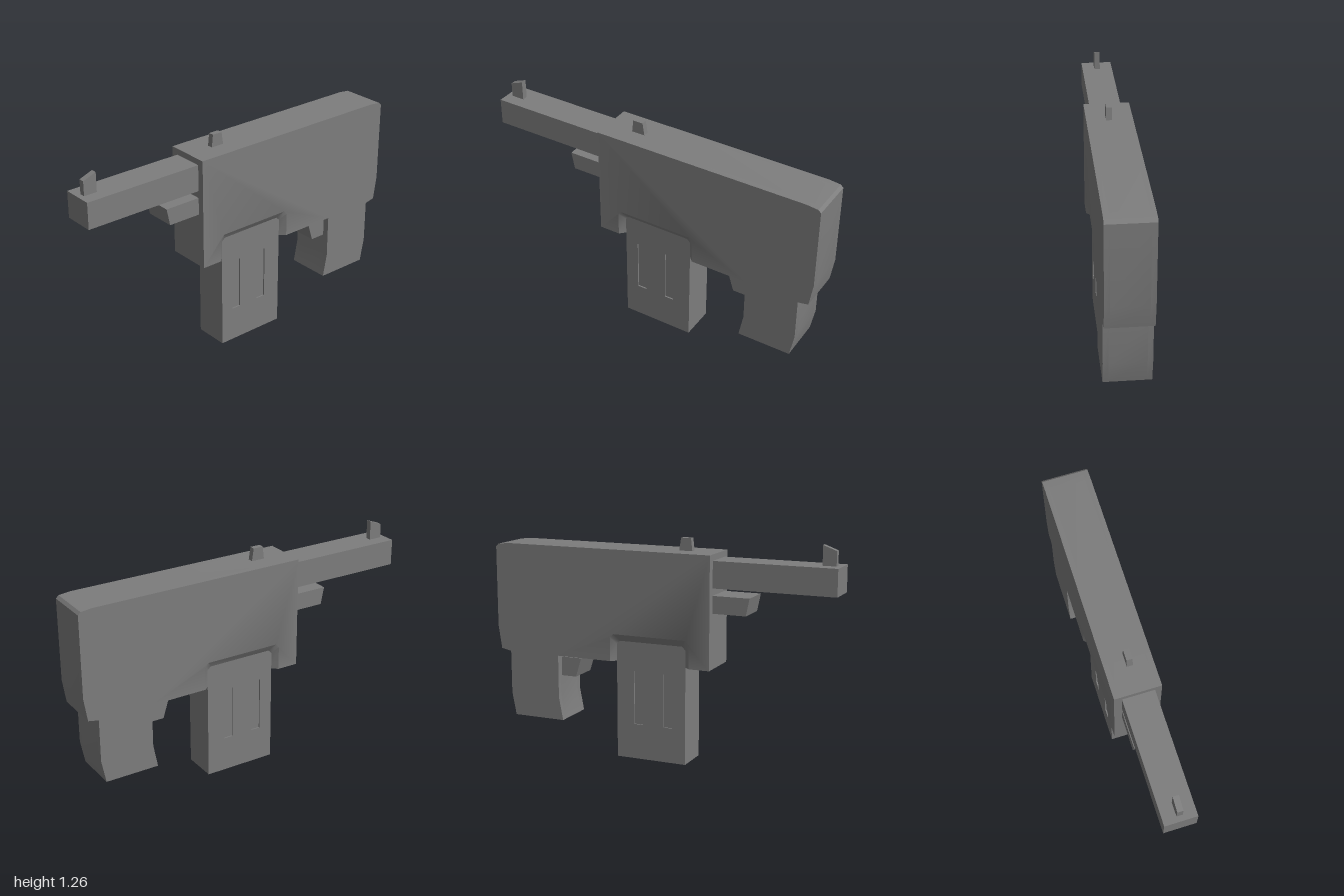
import * as THREE from 'three';
import { toCreasedNormals } from 'three/addons/utils/BufferGeometryUtils.js';

const metal = new THREE.MeshStandardMaterial({ color: 0x7d7d7d });

function shapeOf(points) {
  return new THREE.Shape(points.map(([a, b]) => new THREE.Vector2(a, b)));
}

// Side profile given as [z, y], extruded across x from x0 to x1.
function sidePart(name, points, x0, x1, { holes = [], warp } = {}) {
  const shape = shapeOf(points);
  shape.holes = holes.map(shapeOf);
  const geo = new THREE.ExtrudeGeometry(shape, { depth: x1 - x0, bevelEnabled: false });
  geo.rotateY(-Math.PI / 2).translate(x1, 0, 0);
  if (warp) {
    const pos = geo.attributes.position;
    const v = new THREE.Vector3();
    for (let i = 0; i < pos.count; i++) {
      warp(v.fromBufferAttribute(pos, i));
      pos.setXYZ(i, v.x, v.y, v.z);
    }
  }
  const mesh = new THREE.Mesh(toCreasedNormals(geo, 0.6), metal);
  mesh.name = name;
  return mesh;
}

const rect = (z0, z1, y0, y1) => [[z0, y0], [z1, y0], [z1, y1], [z0, y1]];

// Opens the magazine recess outward, so its walls slope
const flareRecess = (outerX) => (v) => {
  if (Math.abs(v.x - outerX) > 1e-4 || v.y > 0.7 || v.z > 0.17 || v.z < -0.26) return;
  v.z += Math.sign(v.z) * 0.03;
  if (v.y > 0.6) v.y += 0.04;
};

export function createModel() {
  const model = new THREE.Group();
  model.name = 'blockyGun';

  // Receiver and grip: a solid core between two side skins with a recess
  const back = [
    [-0.61, 0.555], [-0.61, 0.31], [-0.585, 0.178], [-0.895, 0.178],
    [-0.92, 0.31], [-0.92, 0.555], [-0.98, 0.567], [-1, 0.7],
    [-1, 1.16], [-0.985, 1.175], [-0.92, 1.182],
  ];
  const front = [[0.315, 1.182], [0.315, 0.555]];
  const recess = [
    [0.165, 0.555], [0.165, 0.65], [0.145, 0.67], [-0.23, 0.67], [-0.25, 0.65], [-0.25, 0.555],
  ];
  const skin = [...front, ...recess, ...back];
  const receiver = new THREE.Group();
  receiver.name = 'receiverAndGrip';
  receiver.add(
    sidePart('receiverCore', [...front, ...back], -0.102, 0.095),
    sidePart('receiverLeftSide', skin, 0.095, 0.125, { warp: flareRecess(0.125) }),
    sidePart('receiverRightSide', skin, -0.13, -0.102, { warp: flareRecess(-0.13) }),
  );
  model.add(receiver);

  // Magazine: solid core between two slotted side plates
  const outline = rect(-0.25, 0.165, 0, 0.555);
  const holes = [rect(0.035, 0.09, 0.2, 0.505), rect(-0.145, -0.09, 0.2, 0.505)];
  const magazine = new THREE.Group();
  magazine.name = 'magazine';
  magazine.add(
    sidePart('magazineCore', outline, -0.094, 0.087),
    sidePart('magazineLeftPlate', outline, 0.087, 0.095, { holes }),
    sidePart('magazineRightPlate', outline, -0.102, -0.094, { holes }),
  );
  model.add(magazine);

  // Barrel, lower lug and trigger share one width
  model.add(
    sidePart('barrel', rect(0.31, 1, 1, 1.148), -0.088, 0.088),
    sidePart('lowerLug', [[0.31, 0.863], [0.505, 0.863], [0.525, 0.96], [0.31, 0.96]], -0.088, 0.088),
    sidePart('trigger', [[-0.615, 0.432], [-0.52, 0.432], [-0.485, 0.542], [-0.615, 0.542]], -0.088, 0.088),
  );

  // Sights
  model.add(
    sidePart('frontSight', [[0.895, 1.14], [0.97, 1.14], [0.97, 1.228], [0.895, 1.256]], -0.015, 0.017),
    sidePart('rearSight', [[0.088, 1.175], [0.167, 1.175], [0.158, 1.252], [0.1, 1.252]], -0.015, 0.017),
  );

  return model;
}
